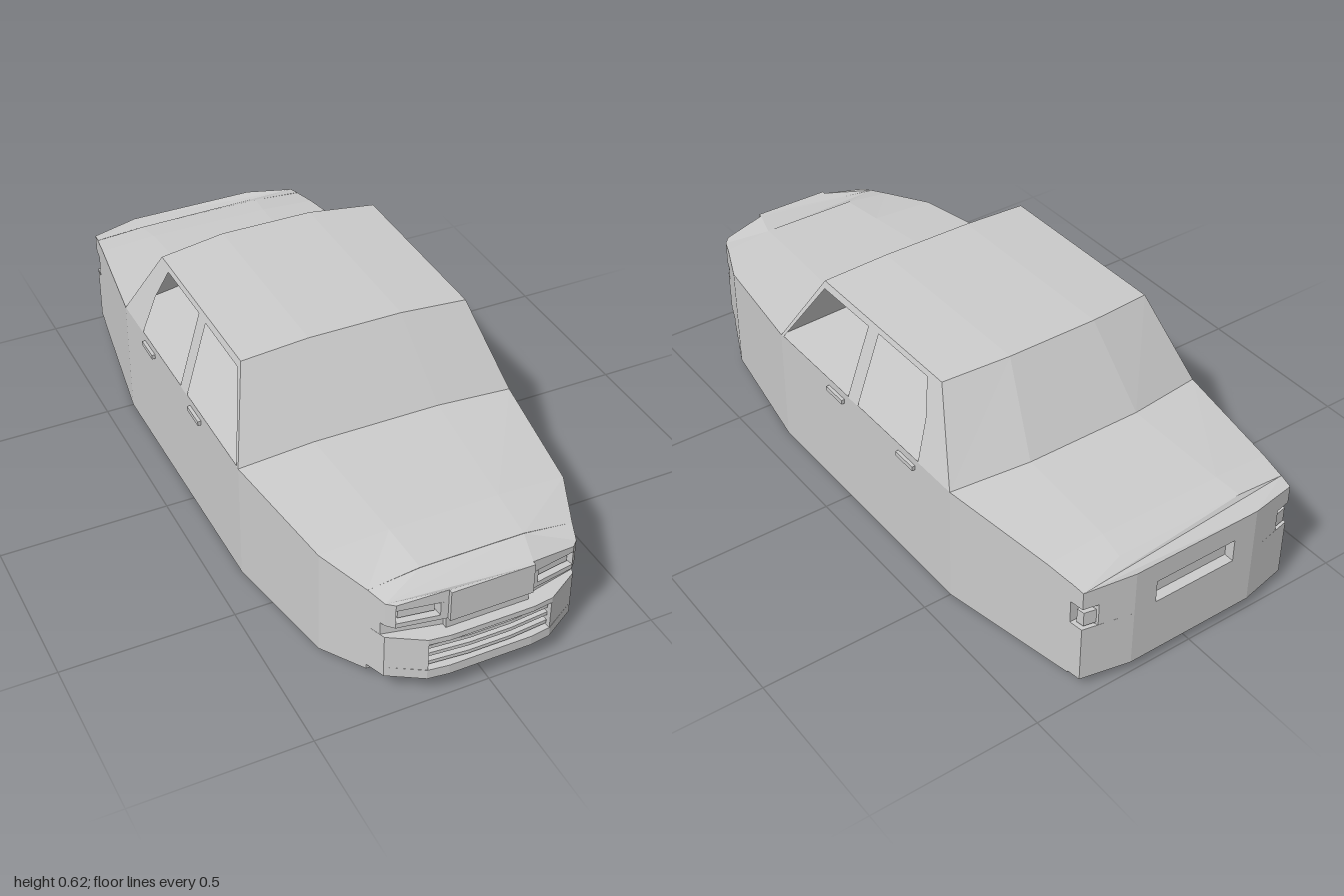
import * as THREE from 'three';

const paint = new THREE.MeshStandardMaterial({ color: 0xcccccc, side: THREE.DoubleSide, flatShading: true });
paint.name = 'light grey';

function addMesh(group, name, geometry) {
  const mesh = new THREE.Mesh(geometry, paint);
  mesh.name = name;
  group.add(mesh);
  return mesh;
}

// Joins cross-sections, given from front to back, into a faceted skin
function loft(rings, closed) {
  const pos = [];
  const tri = (a, b, c) => pos.push(...a, ...b, ...c);
  const n = rings[0].length;
  for (let i = 0; i < rings.length - 1; i++) {
    for (let j = 0; j < (closed ? n : n - 1); j++) {
      const k = (j + 1) % n;
      const [a, b, c, d] = [rings[i][j], rings[i][k], rings[i + 1][k], rings[i + 1][j]];
      tri(a, b, c);
      tri(a, c, d);
    }
  }
  if (closed) {
    const first = rings[0], last = rings[rings.length - 1];
    for (let j = 1; j < n - 1; j++) {
      tri(first[0], first[j + 1], first[j]);
      tri(last[0], last[j], last[j + 1]);
    }
  }
  const geo = new THREE.BufferGeometry();
  geo.setAttribute('position', new THREE.Float32BufferAttribute(pos, 3));
  geo.computeVertexNormals();
  return geo;
}

// Horizontal layer with a plan outline in [x, z]; topY may bend the upper face
function slab(plan, y0, y1, topY) {
  const shape = new THREE.Shape(plan.map(([x, z]) => new THREE.Vector2(x, -z)));
  const geo = new THREE.ExtrudeGeometry(shape, { depth: y1 - y0, bevelEnabled: false });
  geo.rotateX(-Math.PI / 2).translate(0, y0, 0);
  if (topY) {
    const p = geo.attributes.position;
    for (let i = 0; i < p.count; i++) {
      if (p.getY(i) > y1 - 0.001) p.setY(i, topY(Math.abs(p.getX(i)), p.getZ(i)));
    }
    geo.computeVertexNormals();
  }
  return geo;
}

const mirrored = (half) => [...half, ...half.map(([x, z]) => [-x, z]).reverse()];
const flip = (plan) => plan.map(([x, z]) => [-x, z]);

function addHull(car) {
  // side z, crown z, half width, crown half width, bottom, side top, crown top
  const stations = [
    [0.88, 0.88, 0.296, 0.15, 0.055, 0.327, 0.346],
    [0.73, 0.73, 0.36, 0.16, 0.02, 0.345, 0.356],
    [0.35, 0.345, 0.415, 0.19, 0, 0.365, 0.377],
    [-0.5, -0.535, 0.415, 0.18, 0, 0.365, 0.377],
    [-0.85, -0.85, 0.363, 0.19, 0.024, 0.35, 0.361],
    [-0.93, -0.93, 0.351, 0.2, 0.03, 0.341, 0.352],
  ];
  const rings = stations.map(([zs, zc, w, c, yb, ys, yc]) => [
    [-w, yb, zs], [-w, ys, zs], [-c, yc, zc], [c, yc, zc],
    [w, ys, zs], [w, yb, zs], [c, yb, zc], [-c, yb, zc],
  ]);
  addMesh(car, 'bodyShell', loft(rings, true));
}

function addCabin(car) {
  // Windscreen, roof and rear screen in one strip
  const rows = [
    [0.415, 0.365, 0.35, 0.19, 0.377, 0.345],
    [0.34, 0.603, 0.21, 0.14, 0.615, 0.205],
    [0.34, 0.603, -0.36, 0.14, 0.615, -0.385],
    [0.415, 0.365, -0.5, 0.18, 0.377, -0.535],
  ].map(([w, ys, zs, c, yc, zc]) => [[-w, ys, zs], [-c, yc, zc], [c, yc, zc], [w, ys, zs]]);
  addMesh(car, 'roofAndScreens', loft(rows, false));

  // Leaning side frames with two open windows each
  const points = (list) => list.map(([z, y]) => new THREE.Vector2(z, y));
  const frame = new THREE.Shape(points([[0.35, 0.365], [0.21, 0.603], [-0.36, 0.603], [-0.5, 0.365]]));
  frame.holes.push(
    new THREE.Path(points([[0.337, 0.367], [-0.01, 0.367], [-0.02, 0.584], [0.203, 0.582]])),
    new THREE.Path(points([[-0.06, 0.367], [-0.353, 0.367], [-0.337, 0.49], [-0.3, 0.587], [-0.07, 0.587]])),
  );
  for (const s of [1, -1]) {
    const geo = new THREE.ShapeGeometry(frame);
    const p = geo.attributes.position;
    for (let i = 0; i < p.count; i++) {
      const z = p.getX(i), y = p.getY(i);
      p.setXYZ(i, s * (0.415 - 0.075 * (y - 0.365) / 0.238), y, z);
    }
    if (s > 0) geo.setIndex([...geo.index.array].reverse());
    geo.computeVertexNormals();
    addMesh(car, s > 0 ? 'leftWindowFrame' : 'rightWindowFrame', geo);

    // Door handles
    for (const z of [0.05, -0.3]) {
      const handle = addMesh(car, 'doorHandle', new THREE.BoxGeometry(0.012, 0.014, 0.08));
      handle.position.set(s * 0.419, 0.338, z);
    }
  }
}

function addNose(car) {
  const nose = new THREE.Group();
  nose.name = 'nose';
  car.add(nose);
  const flank = [[0.15, 0.88], [0.296, 0.88], [0.275, 0.935]];

  // Bumper with a sunken grille
  const bumper = mirrored([...flank, [0.18, 0.992], [0.12, 1]]);
  const grille = mirrored([...flank, [0.178, 0.992], [0.175, 0.955]]);
  addMesh(nose, 'lowerBumper', slab(bumper, 0.07, 0.1));
  addMesh(nose, 'grilleRecess', slab(grille, 0.1, 0.188));
  addMesh(nose, 'upperBumper', slab(bumper, 0.188, 0.205));
  for (const y of [0.108, 0.136, 0.162]) {
    addMesh(nose, 'grilleSlat', slab(mirrored([[0.175, 0.95], [0.175, 0.98], [0.06, 0.99]]), y, y + 0.011));
  }

  // Set-back band under the lamps
  addMesh(nose, 'lowerBand', slab(mirrored([...flank.slice(0, 2), [0.28, 0.92], [0.12, 0.955], [0.12, 0.97]]), 0.205, 0.245));

  // Lamp surround with sunken lamps
  const surround = mirrored([...flank, [0.255, 0.955], [0.12, 0.978], [0.12, 0.99]]);
  const sunken = mirrored([...flank, [0.255, 0.955], [0.25, 0.93], [0.142, 0.945], [0.14, 0.975], [0.12, 0.978], [0.12, 0.99]]);
  addMesh(nose, 'lampSill', slab(surround, 0.245, 0.26));
  addMesh(nose, 'lampRecess', slab(sunken, 0.26, 0.302));
  addMesh(nose, 'hoodLip', slab(surround, 0.302, 0.325, (x, z) =>
    0.34 - 0.022 * THREE.MathUtils.clamp((x - 0.12) / 0.155, 0, 1) + (z < 0.9 ? 0.009 : 0)));
  const lamp = [[0.148, 0.935], [0.245, 0.92], [0.245, 0.943], [0.148, 0.958]];
  for (const plan of [lamp, flip(lamp)]) addMesh(nose, 'headlamp', slab(plan, 0.266, 0.296));
}

function addTail(car) {
  const tail = new THREE.Group();
  tail.name = 'tail';
  car.add(tail);
  const full = mirrored([[0.2, -0.93], [0.351, -0.93], [0.345, -0.97], [0.2, -1]]);
  addMesh(tail, 'lowerTail', slab(full, 0.035, 0.21));
  // Middle layer leaves corner notches and the plate recess
  addMesh(tail, 'middleTail', slab(mirrored([
    [0.2, -0.93], [0.32, -0.93], [0.3, -0.979], [0.2, -1], [0.13, -1], [0.13, -0.97],
  ]), 0.21, 0.28));
  addMesh(tail, 'upperTail', slab(full, 0.28, 0.335, (x, z) => (x < 0.25 ? 0.345 : 0.335) + (z > -0.95 ? 0.007 : 0)));
  const lamp = [[0.31, -0.94], [0.342, -0.945], [0.338, -0.967], [0.303, -0.974]];
  for (const plan of [lamp, flip(lamp)]) addMesh(tail, 'tailLamp', slab(plan, 0.218, 0.262));
}

export function createModel() {
  const car = new THREE.Group();
  car.name = 'carBody';
  addHull(car);
  addCabin(car);
  addNose(car);
  addTail(car);
  return car;
}
